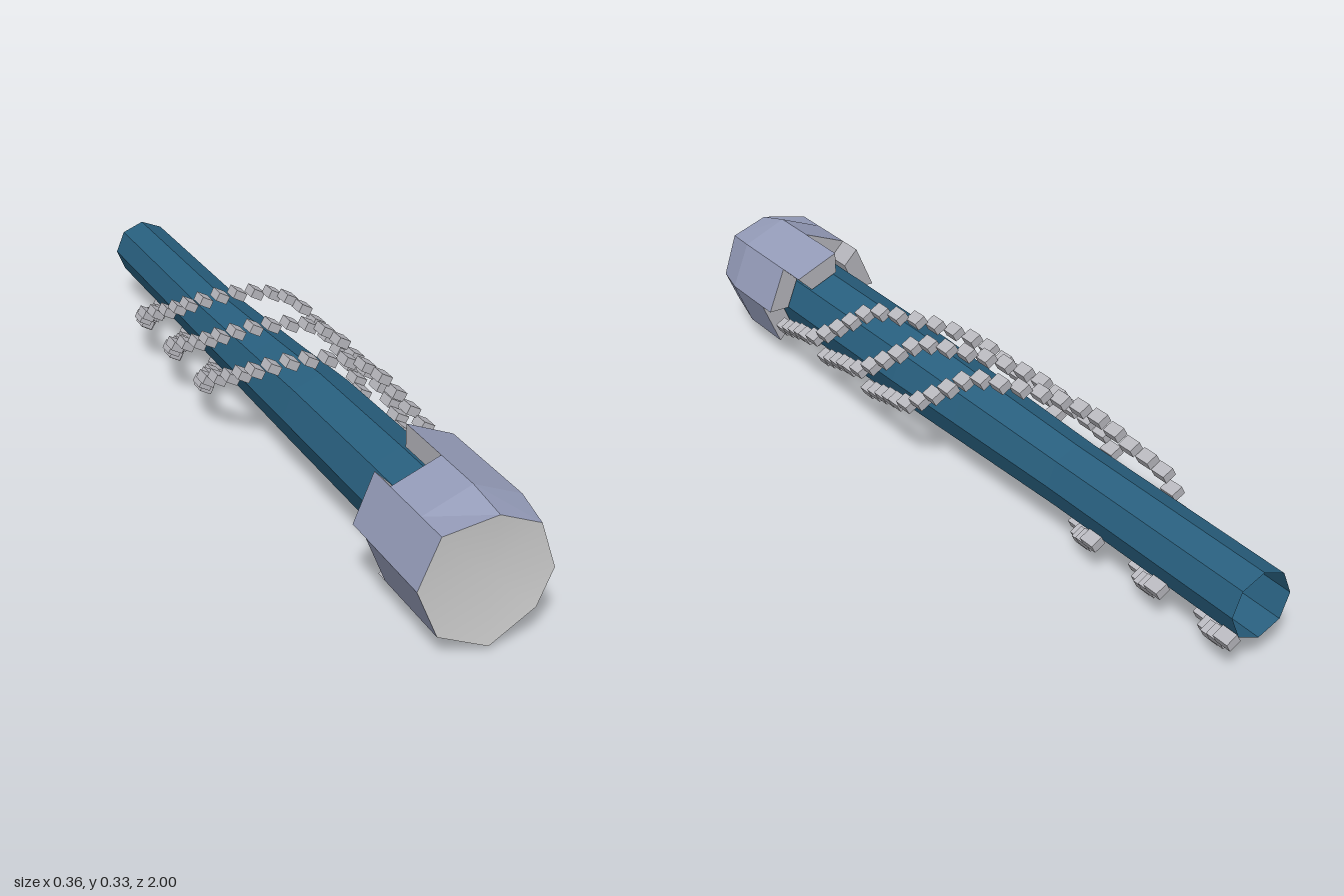
import * as THREE from 'three';

const V = (x, y, z) => new THREE.Vector3(x, y, z);
const mat = (color, flatShading = true) =>
  new THREE.MeshStandardMaterial({ color, flatShading, side: THREE.DoubleSide });

// Flat-faced geometry from a list of four-cornered faces
function quadGeometry(quads) {
  const points = quads.flatMap(([a, b, c, d]) => [a, b, c, a, c, d]);
  const g = new THREE.BufferGeometry().setFromPoints(points);
  g.computeVertexNormals();
  return g;
}

function named(name, geometry, material) {
  const m = new THREE.Mesh(geometry, material);
  m.name = name;
  return m;
}

// Octagonal ring point, corner i counted counter-clockwise from +x
function corner(i, cx, cy, r, z) {
  const a = i * Math.PI / 4;
  return V(cx + r * Math.cos(a), cy + r * Math.sin(a), z);
}

// Tapered eight-sided shaft, open at the back
function makeShaft() {
  // z, centre x, centre y, radius
  const rings = [
    [0.95, 0.012, 0.173, 0.1], [0.6, 0.012, 0.172, 0.099], [0.2, 0.01, 0.169, 0.097],
    [-0.05, 0.006, 0.163, 0.09], [-0.4, 0.001, 0.156, 0.081], [-1, 0, 0.153, 0.079],
  ];
  const quads = [];
  for (let k = 0; k < rings.length - 1; k++) {
    for (let i = 0; i < 8; i++) {
      const p = ([z, cx, cy, r], j) => corner(j, cx, cy, r, z);
      quads.push([p(rings[k], i), p(rings[k], i + 1), p(rings[k + 1], i + 1), p(rings[k + 1], i)]);
    }
  }
  return named('shaft', quadGeometry(quads), mat(0x285f7e));
}

// Octagonal head whose eight segments reach back by different lengths
function makeHead() {
  const head = new THREE.Group();
  head.name = 'head';
  const cx = 0.01, cy = 0.175, r = 0.16;
  const backs = [0.7, 0.62, 0.77, 0.7, 0.76, 0.73, 0.82, 0.74];
  const outer = (i, z) => corner(i, cx, cy, r, z);
  const inner = (i, z) => corner(i, cx, cy, r * 0.66, z);

  // Front rim: bevelled on the +x side, tilted slightly
  const bevel = { 0: [0.145, 0.17], 1: [0.11, 0.277], 2: [0.018, 0.313], 7: [0.11, 0.085] };
  const rim = (i) => {
    const p = outer(i, 0);
    if (bevel[i % 8]) p.set(...bevel[i % 8], 0);
    p.z = 0.98 + 0.068 * (p.x + 0.15);
    return p;
  };

  const shell = [], cuts = [];
  backs.forEach((z, i) => {
    const j = i + 1;
    shell.push([rim(i), rim(j), outer(j, 0.9), outer(i, 0.9)]);
    shell.push([outer(i, 0.9), outer(j, 0.9), outer(j, z), outer(i, z)]);
    // Back end, inside and both flanks of the segment
    cuts.push([outer(i, z), outer(j, z), inner(j, z), inner(i, z)]);
    cuts.push([inner(i, z), inner(j, z), inner(j, 0.9), inner(i, 0.9)]);
    cuts.push([outer(i, z), inner(i, z), inner(i, 0.9), outer(i, 0.9)]);
    cuts.push([outer(j, 0.9), inner(j, 0.9), inner(j, z), outer(j, z)]);
  });
  head.add(named('headShell', quadGeometry(shell), mat(0x949bb8)));
  head.add(named('headSegmentEnds', quadGeometry(cuts), mat(0xb4b4ba)));

  // Shallow dished front with smooth normals
  const pts = [V(cx, cy, 0.975)], index = [];
  for (let i = 0; i < 8; i++) {
    pts.push(rim(i));
    index.push(0, i + 1, (i + 1) % 8 + 1);
  }
  const face = new THREE.BufferGeometry().setFromPoints(pts);
  face.setIndex(index);
  face.computeVertexNormals();
  head.add(named('headFace', face, mat(0xcccccc, false)));
  return head;
}

// One chain winding over the shaft, down the -x side and underneath
function makeChain(name, shift, material) {
  const path = new THREE.CatmullRomCurve3([
    V(0.125, 0.12, 0.7), V(0.145, 0.16, 0.58), V(0.162, 0.195, 0.47), V(0.13, 0.255, 0.38),
    V(0.09, 0.308, 0.31), V(0.05, 0.312, 0.24), V(-0.03, 0.29, 0.16), V(-0.1, 0.25, 0.09),
    V(-0.135, 0.2, 0), V(-0.163, 0.16, -0.09), V(-0.135, 0.1, -0.17), V(-0.1, 0.068, -0.26),
    V(-0.05, 0.045, -0.34), V(-0.005, 0.02, -0.42), V(0.035, 0.045, -0.48), V(0.07, 0.09, -0.55),
  ]);
  const chain = new THREE.Group();
  chain.name = name;
  const link = new THREE.BoxGeometry(0.031, 0.022, 0.042);
  const count = 32;
  for (let i = 0; i <= count; i++) {
    const m = named('chainLink', link, material);
    m.position.copy(path.getPointAt(i / count));
    m.position.z += shift;
    m.rotation.z = -0.5;
    chain.add(m);
  }
  return chain;
}

export function createModel() {
  const model = new THREE.Group();
  model.name = 'chainedClub';
  model.add(makeShaft(), makeHead());
  const steel = mat(0xb8b8be);
  [['frontChain', 0], ['middleChain', -0.215], ['rearChain', -0.43]]
    .forEach(([name, shift]) => model.add(makeChain(name, shift, steel)));
  return model;
}
